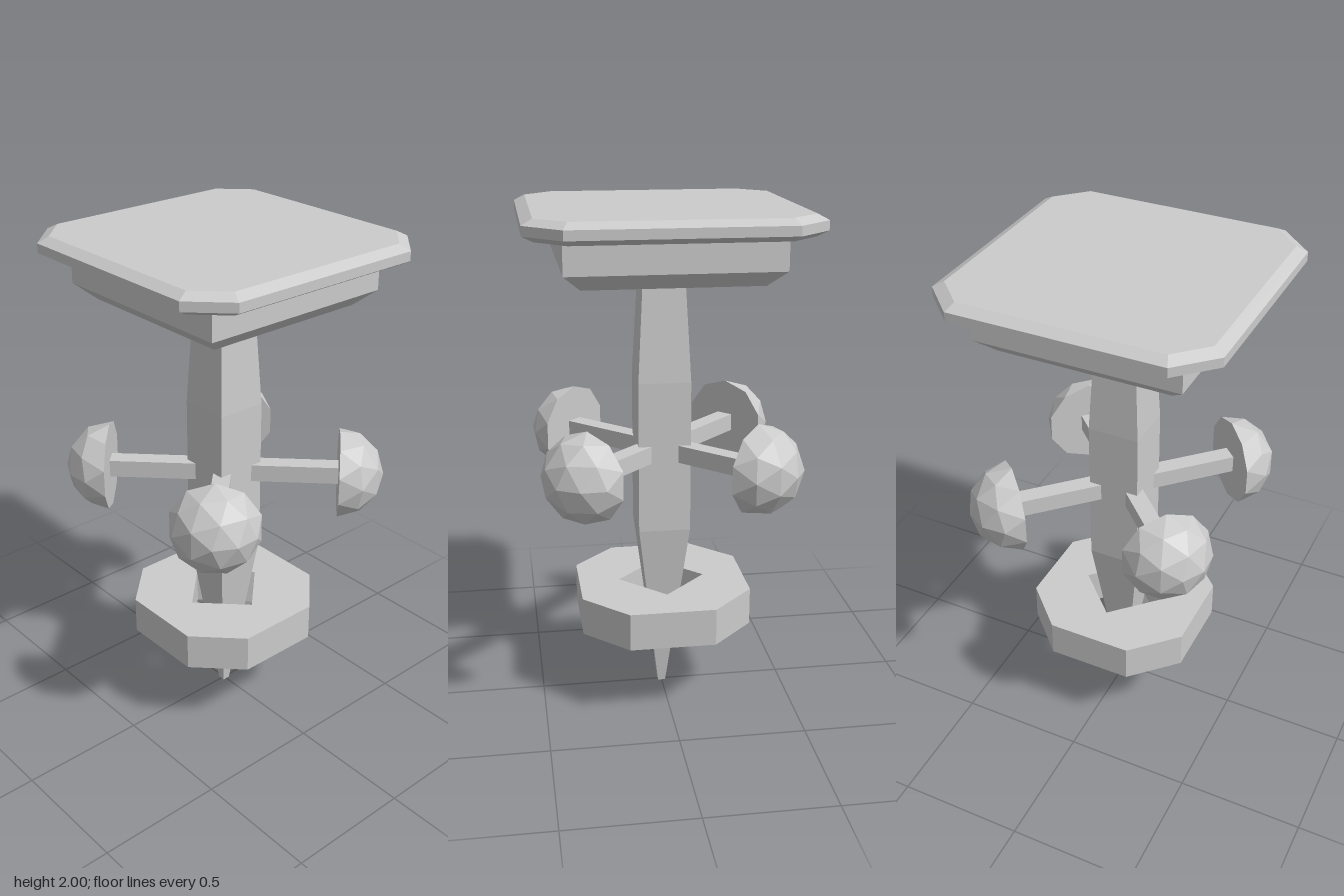
import * as THREE from 'three';

const material = new THREE.MeshStandardMaterial({ color: 0xcccccc, flatShading: true });

function part(name, geometry) {
  const faceted = geometry.index ? geometry.toNonIndexed() : geometry;
  faceted.computeVertexNormals();
  const mesh = new THREE.Mesh(faceted, material);
  mesh.name = name;
  return mesh;
}

// Square column from [half width, height] pairs, listed bottom to top, closed at both ends
function squareColumn(profile) {
  const points = profile.map(([half, y]) => new THREE.Vector2(half * Math.SQRT2, y));
  points.unshift(new THREE.Vector2(0, profile[0][1]));
  points.push(new THREE.Vector2(0, profile[profile.length - 1][1]));
  return new THREE.LatheGeometry(points, 4, Math.PI / 4);
}

// Square outline with cut corners
function cutSquare(half, corner) {
  return new THREE.Shape([
    [half, -corner], [half, corner], [corner, half], [-corner, half],
    [-half, corner], [-half, -corner], [-corner, -half], [corner, -half],
  ].map(([x, y]) => new THREE.Vector2(x, y)));
}

// Faceted half ball: flat side at z = 0, dome towards +z
function domeGeometry(radius) {
  const g = new THREE.IcosahedronGeometry(radius, 1);
  g.rotateX(Math.atan2(1, (1 + Math.sqrt(5)) / 2));
  g.rotateZ(Math.PI / 2);
  const p = g.attributes.position;
  for (let i = 0; i < p.count; i++) p.setZ(i, Math.max(0, p.getZ(i)));
  return g;
}

export function createModel() {
  const model = new THREE.Group();
  model.name = 'toolPost';

  // Shaft tapering to a blunt point
  model.add(part('shaft', squareColumn([[0.015, 0], [0.103, 0.72], [0.103, 1.33], [0.08, 1.76]])));

  // Eight-sided collar with a diamond-shaped hole around the shaft
  const collarShape = cutSquare(0.34, 0.17);
  const hole = 0.175;
  collarShape.holes.push(new THREE.Path([[hole, 0], [0, -hole], [-hole, 0], [0, hole]]
    .map(([x, y]) => new THREE.Vector2(x, y))));
  const collar = new THREE.ExtrudeGeometry(collarShape, { depth: 0.152, bevelEnabled: false });
  collar.rotateX(-Math.PI / 2).translate(0, 0.32, 0);
  model.add(part('collar', collar));

  // Four diagonal arms, each ending in a half ball
  const reach = 0.455;
  for (let i = 0; i < 4; i++) {
    const handle = new THREE.Group();
    handle.name = 'handle' + (i + 1);
    handle.add(part('arm', new THREE.BoxGeometry(0.07, 0.07, reach).translate(0, 0, reach / 2)));
    handle.add(part('knob', domeGeometry(0.178).translate(0, 0, reach)));
    handle.position.y = 1.04;
    handle.rotation.y = Math.PI / 4 + i * Math.PI / 2;
    model.add(handle);
  }

  // Head block with a sloped underside
  model.add(part('headBlock', squareColumn([[0.335, 1.74], [0.4, 1.8], [0.4, 1.95]])));

  // Bevelled top plate with cut corners
  const plate = new THREE.ExtrudeGeometry(cutSquare(0.497, 0.387), {
    depth: 0.036, bevelSegments: 1, bevelSize: 0.041, bevelThickness: 0.022,
  });
  plate.rotateX(-Math.PI / 2).translate(0, 1.942, 0);
  model.add(part('topPlate', plate));

  return model;
}
